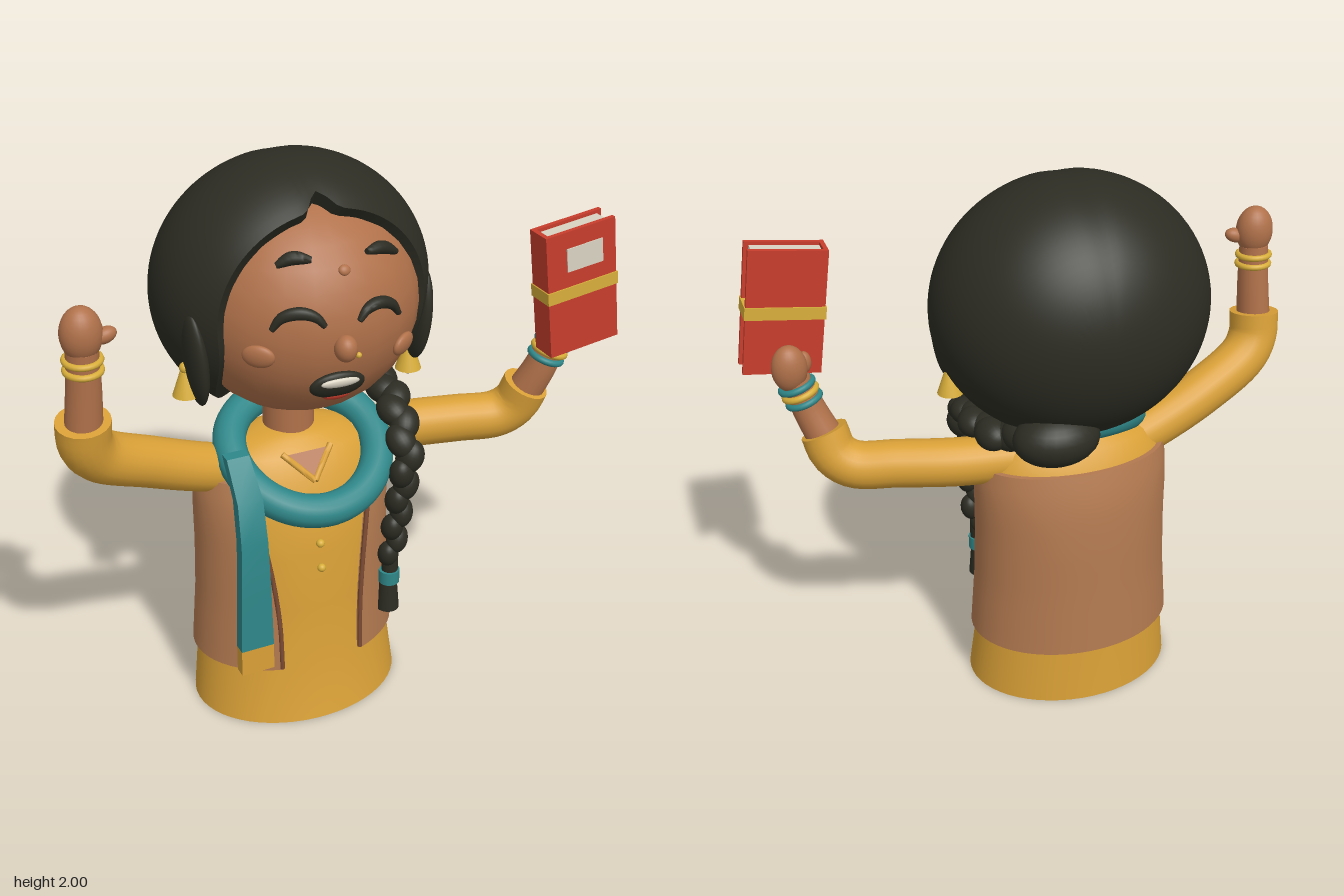
import * as THREE from 'three';
import { toCreasedNormals } from 'three/addons/utils/BufferGeometryUtils.js';

const mat = (name, color) => {
  const m = new THREE.MeshStandardMaterial({ color });
  m.name = name;
  return m;
};
const V = (x, y, z) => new THREE.Vector3(x, y, z);
const lerp = THREE.MathUtils.lerp;

export function createModel() {
  const root = new THREE.Group();
  root.name = 'readerFigure';
  const yellow = mat('mustardCloth', 0xd9a037), skin = mat('skinBrown', 0xb0714a), vestBrown = mat('vestBrown', 0xb27950);
  const trim = mat('trimBrown', 0x7a4a32), hairDark = mat('hairDark', 0x2c2c23), teal = mat('scarfTeal', 0x2f8789);
  const red = mat('bookRed', 0xc83e2d), cream = mat('paperCream', 0xd9d3c2), gold = mat('gold', 0xd8ae3a);

  const add = (name, geo, m, x = 0, y = 0, z = 0, parent = root) => {
    const mesh = new THREE.Mesh(geo, m);
    mesh.name = name;
    mesh.position.set(x, y, z);
    parent.add(mesh);
    return mesh;
  };
  const ball = (name, m, x, y, z, sx, sy = sx, sz = sx) => {
    const b = add(name, new THREE.SphereGeometry(1, 24, 16), m, x, y, z);
    b.scale.set(sx, sy, sz);
    return b;
  };
  // Surface from rows of points; f(column, row) returns a point
  const grid = (cols, rows, f, wrap, crease = 0.8) => {
    const pos = [], idx = [];
    for (let i = 0; i < rows; i++) for (let j = 0; j < cols; j++) pos.push(...f(j, i).toArray());
    for (let i = 0; i < rows - 1; i++) for (let j = 0; j < (wrap ? cols : cols - 1); j++) {
      const k = (j + 1) % cols, a = i * cols + j, b = i * cols + k, c = b + cols, d = a + cols;
      idx.push(a, b, c, a, c, d);
    }
    const g = new THREE.BufferGeometry();
    g.setAttribute('position', new THREE.Float32BufferAttribute(pos, 3));
    g.setIndex(idx);
    return toCreasedNormals(g, crease);
  };
  // Capped round sweep along a path, with radius r(t)
  const sweep = (name, m, pts, r, n = 24, sides = 20) => {
    const curve = new THREE.CatmullRomCurve3(pts.map(p => V(...p)));
    const fr = curve.computeFrenetFrames(n, false);
    return add(name, grid(sides, n + 3, (j, i) => {
      const k = Math.min(Math.max(i - 1, 0), n), a = j / sides * Math.PI * 2;
      const rad = i === 0 || i === n + 2 ? 0 : r(k / n);
      return curve.getPointAt(k / n).addScaledVector(fr.normals[k], rad * Math.cos(a)).addScaledVector(fr.binormals[k], rad * Math.sin(a));
    }, true), m);
  };
  const ring = (name, m, p, dir, R, r) => {
    const t = add(name, new THREE.TorusGeometry(R, r, 10, 28), m, ...p);
    t.quaternion.setFromUnitVectors(V(0, 0, 1), V(...dir).normalize());
  };

  // Torso: [y, half width, half depth, centre z]
  const torso = [[0, .385, .295, .07], [.22, .362, .266, .055], [.45, .345, .255, .055], [.65, .34, .245, .053],
    [.8, .342, .228, .05], [.93, .338, .19, .045], [1.0, .28, .145, .045], [1.04, .19, .11, .04], [1.06, .1, .08, .035]];
  const torsoAt = (y, a, off = 0) => {
    let i = 0;
    while (i < torso.length - 2 && torso[i + 1][0] < y) i++;
    const p = torso[i], q = torso[i + 1], t = (y - p[0]) / (q[0] - p[0]);
    const [w, d, z] = [1, 2, 3].map(k => lerp(p[k], q[k], t));
    return V(-.125 + (w + off) * Math.sin(a), y, z + (d + off) * Math.cos(a));
  };
  add('tunic', grid(56, torso.length + 2, (j, i) => {
    if (i === 0) return V(-.125, 0, .07);
    if (i > torso.length) return V(-.125, 1.06, .035);
    return torsoAt(torso[i - 1][0], j / 56 * Math.PI * 2);
  }, true), yellow);

  // Open vest; border rows and columns fold inward to give thickness
  const opening = y => lerp(.42, .72, Math.pow((y - .22) / .72, 1.8));
  const vr = 16, vc = 52;
  add('vest', grid(vc, vr, (j, i) => {
    const y = lerp(.22, .94, Math.min(Math.max(i - 1, 0), vr - 3) / (vr - 3));
    const o = opening(y), t = Math.min(Math.max(j - 1, 0), vc - 3) / (vc - 3);
    const edge = i === 0 || j === 0 || i === vr - 1 || j === vc - 1;
    return torsoAt(y, lerp(o, Math.PI * 2 - o, t), edge ? -.01 : .018);
  }, false), vestBrown);
  for (const s of [-1, 1]) {
    const pts = [.225, .4, .55, .7, .82, .92].map(y => torsoAt(y, s * opening(y), .014).toArray());
    sweep('vestEdge', trim, pts, () => .009, 20, 8);
  }
  for (const y of [.705, .61]) ball('button', gold, -.125, y, torsoAt(y, 0).z + .008, .015);

  // Neck and V neckline
  add('neck', new THREE.CylinderGeometry(.088, .09, .22, 28), skin, -.125, 1.13, .035);
  const vee = new THREE.Shape([new THREE.Vector2(-.085, .1), new THREE.Vector2(0, 0), new THREE.Vector2(.085, .1)]);
  const necklineGeo = new THREE.ExtrudeGeometry(vee, { depth: .008, bevelEnabled: false });
  add('neckline', necklineGeo, skin, -.125, .935, .25).rotation.x = -.72;
  for (const s of [-1, 1])
    sweep('necklinePiping', yellow, [[-.125, .935, .258], [-.125 + s * .043, .975, .222], [-.125 + s * .09, 1.02, .185]], () => .011, 8, 8);

  // Scarf loop and hanging end
  const loop = new THREE.CatmullRomCurve3(Array.from({ length: 16 }, (_, i) => {
    const a = i / 16 * Math.PI * 2, s = Math.sin(a);
    return V(-.105 + .262 * Math.cos(a), 1.005 - .125 * s - .02 * s * s, .12 + .215 * s);
  }), true);
  add('scarfLoop', new THREE.TubeGeometry(loop, 64, .058, 16, true), teal);
  const endRows = [[.28, .06, .335], [.38, .06, .335], [.6, .054, .335], [.8, .048, .33], [.95, .045, .3], [1.07, .04, .2]];
  const strip = (name, m, rows) => add(name, grid(4, rows.length + 2, (j, i) => {
    const [y, w, z] = rows[Math.min(Math.max(i - 1, 0), rows.length - 1)];
    const cap = i === 0 || i === rows.length + 1 ? 0 : 1;
    return V(-.39 + cap * w * [-1, 1, 1, -1][j], y, z + cap * .022 * [1, 1, -1, -1][j]);
  }, true, .6), m);
  strip('scarfTail', teal, endRows.slice(1));
  strip('scarfTip', yellow, endRows.slice(0, 2));

  // Raised right arm
  sweep('rightSleeve', yellow, [[-.3, .92, .04], [-.45, .965, .06], [-.65, 1.05, .09], [-.84, 1.15, .14], [-.885, 1.22, .165], [-.89, 1.305, .18]], t => lerp(.085, .09, t), 32);
  sweep('rightForearm', skin, [[-.89, 1.27, .18], [-.882, 1.42, .19], [-.88, 1.56, .2]], t => lerp(.062, .052, t));
  ball('rightHand', skin, -.88, 1.615, .205, .068, .09, .06);
  ball('rightThumb', skin, -.81, 1.6, .215, .04, .026, .026).rotation.z = .3;
  for (const y of [1.49, 1.525]) ring('rightBangle', gold, [-.88, y, .197], [0, 1, .07], .056, .011);

  // Left arm holding the book
  sweep('leftSleeve', yellow, [[.1, .95, .04], [.3, .955, .06], [.5, .96, .11], [.65, .965, .15], [.71, 1.01, .175], [.735, 1.09, .2]], t => lerp(.088, .084, t), 32);
  sweep('leftForearm', skin, [[.73, 1.06, .195], [.775, 1.17, .225], [.81, 1.28, .24]], t => lerp(.064, .052, t));
  ball('leftHand', skin, .83, 1.335, .225, .062, .085, .05);
  ball('leftThumb', skin, .775, 1.34, .245, .025, .04, .025);
  [teal, gold, teal].forEach((m, i) =>
    ring('leftBangle', m, [.788 + i * .01, 1.205 + i * .027, .232 + i * .004], [.33, 1, .14], .057, .012));

  // Book with spine, pages, label and band
  const book = new THREE.Group();
  book.name = 'book';
  book.position.set(.817, 1.515, .326);
  book.rotation.z = .135;
  root.add(book);
  const box = (name, m, w, h, d, x, y, z) => add(name, new THREE.BoxGeometry(w, h, d), m, x, y, z, book);
  for (const s of [-1, 1]) box('bookCover', red, .27, .45, .016, 0, 0, s * .041);
  box('bookSpine', red, .016, .45, .09, -.127, 0, 0);
  box('bookPages', cream, .24, .425, .068, -.002, 0, 0);
  box('bookLabel', cream, .14, .085, .006, .012, .122, .05);
  box('bookBand', gold, .278, .045, .108, 0, 0, 0);

  // Head, with a helper that finds the face surface
  const fc = V(-.075, 1.52, .02), fr = V(.41, .39, .39);
  ball('head', skin, ...fc.toArray(), ...fr.toArray());
  const faceZ = (x, y) => fc.z + fr.z * Math.sqrt(Math.max(0, 1 - ((x - fc.x) / fr.x) ** 2 - ((y - fc.y) / fr.y) ** 2));
  const onFace = (name, m, x, y, sx, sy, sz, lift = 0) => {
    const z = faceZ(x, y), n = V(x, y, z).sub(fc).divide(fr).divide(fr).normalize();
    const b = ball(name, m, x, y, z, sx, sy, sz);
    b.lookAt(b.position.clone().add(n));
    b.position.addScaledVector(n, lift);
  };
  const stroke = (name, pts, r) => sweep(name, hairDark, pts.map(([x, y]) => [x, y, faceZ(x, y) + .01]),
    t => r * (.45 + .55 * Math.sin(Math.PI * t)), 16, 12);
  stroke('rightEye', [[-.315, 1.57], [-.285, 1.61], [-.23, 1.625], [-.185, 1.61], [-.16, 1.58]], .021);
  stroke('leftEye', [[-.045, 1.58], [-.015, 1.61], [.03, 1.62], [.085, 1.6], [.115, 1.56]], .021);
  stroke('rightBrow', [[-.27, 1.755], [-.22, 1.775], [-.165, 1.77]], .022);
  stroke('leftBrow', [[.025, 1.765], [.09, 1.76], [.15, 1.73]], .022);
  onFace('foreheadDot', skin, -.07, 1.73, .02, .018, .012, .006);
  onFace('nose', skin, -.092, 1.495, .038, .045, .04, .006);
  ball('noseStud', gold, -.052, 1.468, .425, .01);
  onFace('rightCheek', skin, -.345, 1.475, .055, .04, .02, .005);
  onFace('leftCheek', skin, .15, 1.43, .055, .04, .02, .005);
  onFace('mouth', hairDark, -.103, 1.355, .095, .056, .026, .004);
  onFace('teeth', cream, -.103, 1.38, .066, .018, .012, .022);
  onFace('tongue', red, -.1, 1.318, .046, .018, .012, .016);

  // Hair cap, from the back pole to a rim around the face, then a lip inward
  const hc = V(-.087, 1.55, -.03), hr = 30, hn = 96;
  add('hairCap', grid(hn, hr + 2, (j, i) => {
    const phi = j / hn * Math.PI * 2, s = Math.sin(phi);
    const part = Math.exp(-(((phi - Math.PI / 2) / .1) ** 2));
    const max = (130 - 65 * Math.max(0, -s) ** 3 - 10 * part) * Math.PI / 180;
    const t = Math.min(i, hr) / hr, th = max * t;
    const k = (i > hr ? .86 : 1) * (1 - .012 * part * t);
    return V(.48 * Math.sin(th) * Math.cos(phi), .45 * Math.sin(th) * s, -.42 * Math.cos(th)).multiplyScalar(k).add(hc);
  }, true), hairDark);
  ball('rightLock', hairDark, -.495, 1.42, .14, .035, .17, .08).rotation.z = .08;
  ball('leftLock', hairDark, .315, 1.43, .14, .035, .17, .08).rotation.z = -.08;
  ball('bun', hairDark, .05, 1.195, -.285, .15, .095, .11);

  // Braid: alternating plump strands along a path over the shoulder
  const braid = new THREE.CatmullRomCurve3([V(.08, 1.18, -.22), V(.2, 1.14, -.1), V(.235, 1.13, .04), V(.215, 1.09, .2),
    V(.2, .98, .3), V(.19, .8, .285), V(.18, .66, .27), V(.175, .56, .26)]);
  const strands = 18;
  for (let i = 0; i <= strands; i++) {
    const t = i / strands, p = braid.getPointAt(t), d = braid.getTangentAt(t), r = lerp(.062, .042, t);
    const b = ball('braidStrand', hairDark, p.x + (i % 2 ? .014 : -.014), p.y, p.z, r, r * 1.25, r * .9);
    b.quaternion.setFromUnitVectors(V(0, 1, 0), d);
    b.rotateZ(i % 2 ? .35 : -.35);
  }
  add('braidTie', new THREE.CylinderGeometry(.038, .038, .05, 20), teal, .168, .465, .258);
  add('braidNeck', new THREE.CylinderGeometry(.03, .03, .08, 16), hairDark, .17, .51, .258);
  add('braidTail', new THREE.CylinderGeometry(.032, .042, .115, 20), hairDark, .166, .385, .256);

  // Bell earrings
  for (const [name, x, y] of [['rightEarring', -.52, 1.325], ['leftEarring', .3, 1.25]]) {
    add(name, new THREE.CylinderGeometry(.018, .046, .085, 20), gold, x, y, .11);
    ball(name + 'Stud', gold, x, y + .055, .11, .02);
    ball(name + 'Drop', gold, x, y - .052, .11, .014);
  }
  return root;
}
